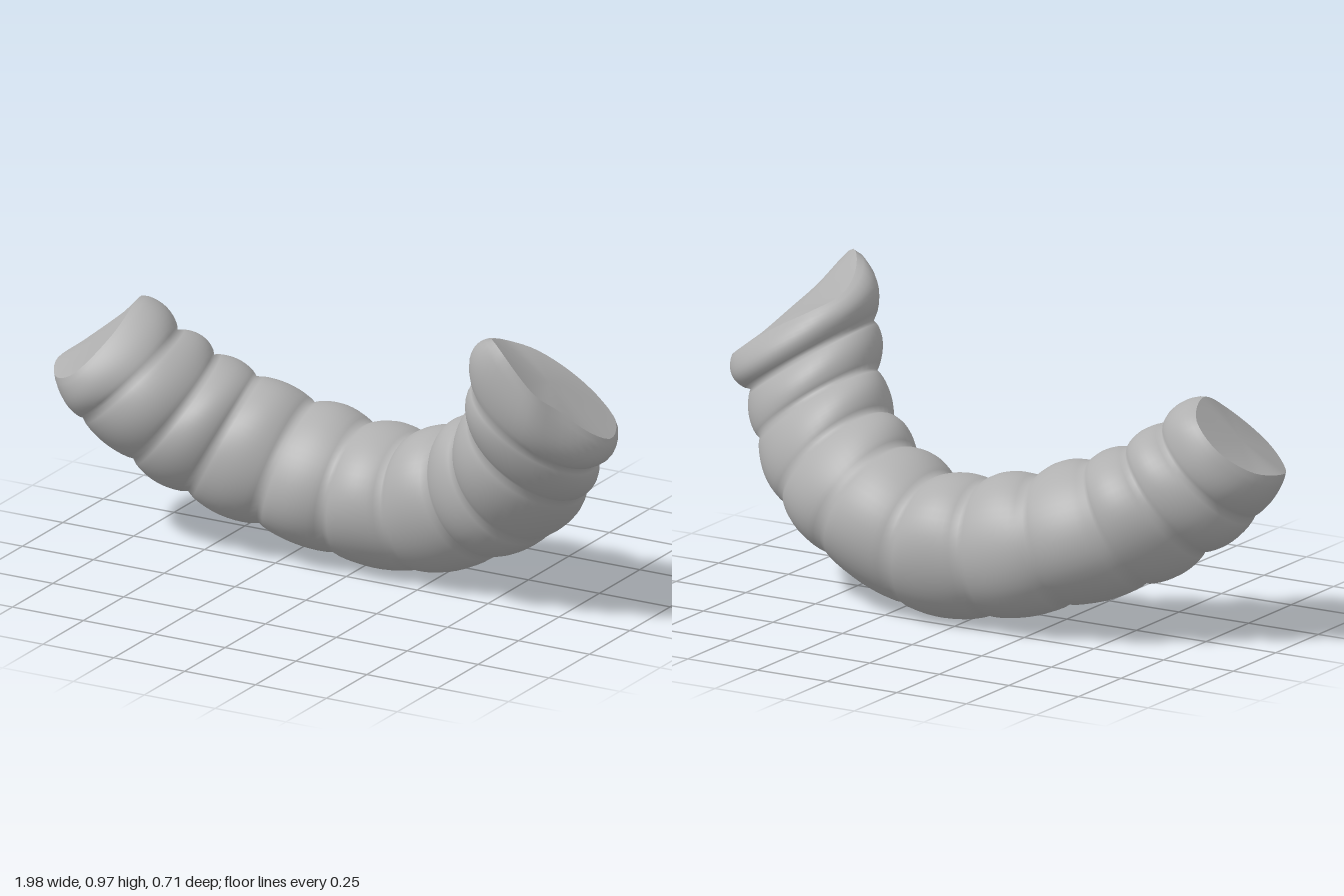
import * as THREE from 'three';

const SIDES = 48, STEPS = 10;
const vec = p => new THREE.Vector3(...p);

// Grooves between pouches: centre, facing direction, front-back radius, in-plane radius
const GROOVES = [
  { c: [-0.745, 0.535, 0.03], n: [0.66, -0.72, -0.2], ru: 0.2, rv: 0.195 },
  { c: [-0.62, 0.435, -0.02], n: [0.7, -0.6, -0.3], ru: 0.205, rv: 0.195 },
  { c: [-0.48, 0.355, -0.075], n: [0.84, -0.48, -0.26], ru: 0.205, rv: 0.205 },
  { c: [-0.28, 0.28, -0.125], n: [0.93, -0.32, -0.16], ru: 0.205, rv: 0.2 },
  { c: [-0.06, 0.23, -0.145], n: [0.99, -0.13, -0.05], ru: 0.205, rv: 0.205 },
  { c: [0.17, 0.225, -0.145], n: [0.98, 0.16, 0.06], ru: 0.205, rv: 0.205 },
  { c: [0.39, 0.31, -0.115], n: [0.88, 0.44, 0.17], ru: 0.2, rv: 0.205 },
  { c: [0.55, 0.4, -0.035], n: [0.78, 0.58, 0.22], ru: 0.19, rv: 0.21 },
  { c: [0.67, 0.54, 0.045], n: [0.62, 0.77, 0.1], ru: 0.175, rv: 0.21 },
  { c: [0.735, 0.67, 0.115], n: [0.56, 0.83, 0], ru: 0.18, rv: 0.22 },
];

// Outlines of the two cut ends
const LOW_END = [
  [-0.82, 0.59, 0.24], [-0.92, 0.54, 0.18], [-0.99, 0.55, 0.05], [-0.96, 0.58, -0.07],
  [-0.88, 0.65, -0.14], [-0.79, 0.73, -0.12], [-0.735, 0.77, 0.01], [-0.74, 0.7, 0.15],
];
const HIGH_END = [
  [0.84, 0.83, 0.31], [0.89, 0.77, 0.25], [0.96, 0.69, 0.18], [0.99, 0.65, 0.1],
  [0.95, 0.67, 0.0], [0.88, 0.72, -0.03], [0.77, 0.79, -0.035], [0.66, 0.85, -0.01],
  [0.6, 0.89, 0.06], [0.62, 0.935, 0.18], [0.71, 0.965, 0.31],
];

const centreOf = ring => ring.reduce((s, p) => s.add(p), new THREE.Vector3()).divideScalar(ring.length);

function grooveRing({ c, n, ru, rv }) {
  const axis = vec(n).normalize();
  const u = new THREE.Vector3(0, -0.447, 0.894);
  u.addScaledVector(axis, -u.dot(axis)).normalize();
  const v = axis.clone().cross(u);
  return Array.from({ length: SIDES }, (_, j) => {
    const a = j / SIDES * Math.PI * 2;
    return vec(c).addScaledVector(u, ru * Math.cos(a)).addScaledVector(v, rv * Math.sin(a));
  });
}

function endRing(outline) {
  return new THREE.CatmullRomCurve3(outline.map(vec), true).getSpacedPoints(SIDES).slice(0, SIDES);
}

// Swollen pouches lofted from each station to the next
function buildRings() {
  const stations = [endRing(LOW_END), ...GROOVES.map(grooveRing), endRing(HIGH_END)];
  const rings = [];
  const last = stations.length - 1;
  for (let i = 0; i < last; i++) {
    const from = stations[i], to = stations[i + 1];
    const swell = i === last - 1 ? 0.042 : 0.026;
    for (let k = 0; k < STEPS; k++) {
      const t = k / STEPS;
      const bulge = swell * Math.pow(Math.sin(Math.PI * t), 0.7);
      const ring = from.map((p, j) => p.clone().lerp(to[j], t));
      const centre = centreOf(ring);
      ring.forEach((p, j) => {
        const uneven = 0.9 + 0.2 * Math.cos(3 * j / SIDES * Math.PI * 2 + i * 1.7);
        p.addScaledVector(p.clone().sub(centre).normalize(), bulge * uneven);
      });
      rings.push(ring);
    }
  }
  rings.push(stations[last]);
  return rings;
}

function geometryFrom(points, index) {
  const g = new THREE.BufferGeometry().setFromPoints(points);
  g.setIndex(index);
  g.computeVertexNormals();
  return g;
}

function wallGeometry(rings) {
  const index = [];
  for (let i = 0; i < rings.length - 1; i++) {
    for (let j = 0; j < SIDES; j++) {
      const a = i * SIDES + j, b = i * SIDES + (j + 1) % SIDES;
      index.push(a, b, a + SIDES, b, b + SIDES, a + SIDES);
    }
  }
  return geometryFrom(rings.flat(), index);
}

function capGeometry(ring, flip) {
  const index = [];
  for (let j = 0; j < SIDES; j++) {
    const k = (j + 1) % SIDES;
    index.push(SIDES, flip ? k : j, flip ? j : k);
  }
  return geometryFrom([...ring, centreOf(ring)], index);
}

export function createModel() {
  const group = new THREE.Group();
  group.name = 'segmentedTube';
  const grey = new THREE.MeshStandardMaterial({ color: 0xb0b0b0 });
  grey.name = 'grey';
  const rings = buildRings();
  const add = (name, geometry) => {
    const mesh = new THREE.Mesh(geometry, grey);
    mesh.name = name;
    group.add(mesh);
  };
  add('tubeWall', wallGeometry(rings));
  add('rightEndCap', capGeometry(rings[0], true));
  add('leftEndCap', capGeometry(rings[rings.length - 1], false));
  return group;
}
